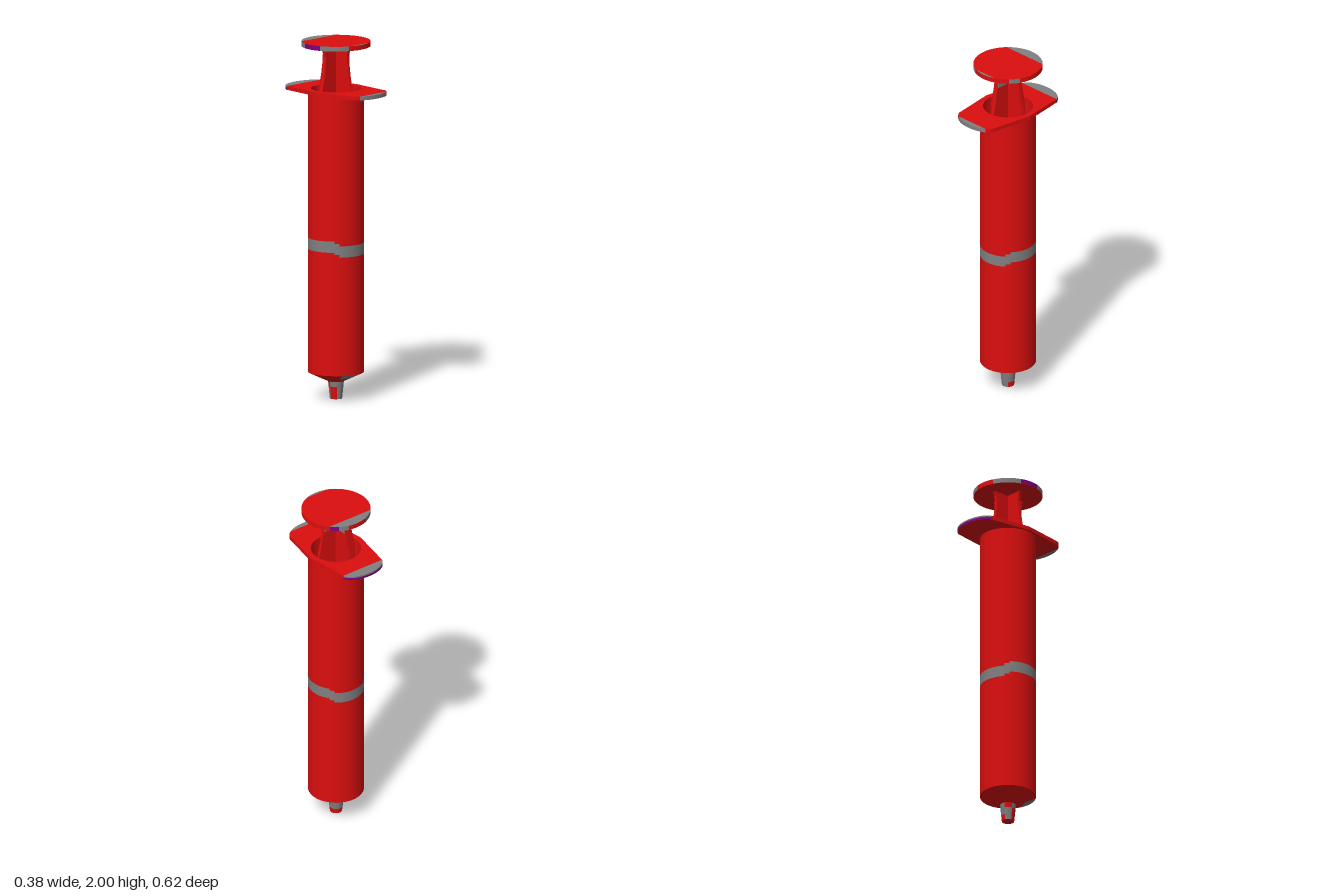
import * as THREE from 'three';

const material = (name, color) => {
  const m = new THREE.MeshStandardMaterial({ color, side: THREE.DoubleSide });
  m.name = name;
  return m;
};

// keep the part of an outline of [x, z] points that lies between two z values
function clip(points, zMin, zMax) {
  let pts = points;
  for (const [limit, sign] of [[zMin, 1], [zMax, -1]]) {
    const out = [];
    pts.forEach((a, i) => {
      const b = pts[(i + 1) % pts.length];
      const da = sign * (a[1] - limit), db = sign * (b[1] - limit);
      if (da >= 0) out.push(a);
      if (da * db < 0) {
        const t = da / (da - db);
        out.push([a[0] + (b[0] - a[0]) * t, limit]);
      }
    });
    pts = out;
  }
  return pts;
}

export function createModel() {
  const red = material('red plastic', 0xdc0e0e);
  const grey = material('grey plastic', 0x808080);
  const purple = material('purple plastic', 0x800080);
  const group = new THREE.Group();
  group.name = 'syringe';

  const add = (name, geometry, mat) => {
    const mesh = new THREE.Mesh(geometry, mat);
    mesh.name = name;
    group.add(mesh);
    return mesh;
  };
  // open wall from y0 to y1, between two angles in degrees measured from +z towards +x
  const wall = (name, r0, r1, y0, y1, mat, from = 0, to = 360) => {
    const segments = Math.max(2, Math.ceil((to - from) / 5));
    const g = new THREE.CylinderGeometry(r1, r0, y1 - y0, segments, 1, true,
      THREE.MathUtils.degToRad(from), THREE.MathUtils.degToRad(to - from));
    return add(name, g.translate(0, (y0 + y1) / 2, 0), mat);
  };
  // flat plate with its upper face at yTop
  const plate = (name, points, yTop, depth, mat, holeRadius = 0) => {
    const shape = new THREE.Shape(points.map(p => new THREE.Vector2(...p)));
    if (holeRadius) shape.holes.push(new THREE.Path().absarc(0, 0, holeRadius, 0, Math.PI * 2, true));
    const g = new THREE.ExtrudeGeometry(shape, { depth, bevelEnabled: false, curveSegments: 36 });
    return add(name, g.rotateX(Math.PI / 2).translate(0, yTop, 0), mat);
  };

  // barrel with a stepped grey band
  const R = 0.155, inner = 0.138;
  wall('barrelLower', R, R, 0.15, 0.81, red);
  wall('barrelUpper', R, R, 0.91, 1.72, red);
  wall('barrelInside', inner, inner, 0.16, 1.73, red);
  for (let q = 0; q < 4; q++) {
    const low = q % 2 === 0, a = q * 90;
    const steps = [
      [a - 40, a + 40, low ? 0.813 : 0.84],
      [a + 40, a + 50, 0.828],
    ];
    for (const [from, to, y] of steps) {
      wall('bandBelow', R, R, 0.81, y, red, from, to);
      wall('band', R, R, y, y + 0.063, grey, from, to);
      wall('bandAbove', R, R, y + 0.063, 0.91, red, from, to);
    }
  }

  // sloping shoulder
  wall('shoulderUpper', 0.092, R, 0.12, 0.15, red, 40, 325);
  wall('shoulderPatch', 0.092, R, 0.12, 0.15, grey, -35, 40);
  wall('shoulderLower', 0.044, 0.092, 0.098, 0.12, red);

  // nozzle
  const nozzleRadius = y => 0.034 + y * 0.1;
  const nozzle = (y0, y1, mat, from, to) =>
    wall('nozzle', nozzleRadius(y0), nozzleRadius(y1), y0, y1, mat, from, to);
  nozzle(0, 0.1, grey, -40, 45);
  nozzle(0, 0.03, red, 45, 200);
  nozzle(0.03, 0.1, grey, 45, 200);
  nozzle(0, 0.07, grey, 200, 260);
  nozzle(0.07, 0.1, red, 200, 260);
  nozzle(0, 0.07, red, 260, 320);
  nozzle(0.07, 0.1, grey, 260, 320);
  add('nozzleTip', new THREE.CylinderGeometry(0.034, 0.034, 0.002, 32).translate(0, 0.001, 0), red);

  // finger flange: straight tapering sides and rounded ends
  const flange = [];
  for (const s of [1, -1]) {
    flange.push([s * 0.171, 0], [s * 0.137, s * 0.22]);
    for (let i = 0; i <= 30; i++) {
      const t = Math.PI * i / 30;
      flange.push([s * 0.135 * Math.cos(t), s * (0.233 + 0.075 * Math.sin(t))]);
    }
    flange.push([-s * 0.137, s * 0.22]);
  }
  const flangeFront = clip(flange, 0.28, 1), flangeBack = clip(flange, -1, -0.245);
  plate('flange', clip(flange, -0.245, 0.28), 1.735, 0.022, red, inner);
  plate('flangeFrontTip', flangeFront, 1.735, 0.022, grey);
  plate('flangeBackTip', flangeBack, 1.735, 0.008, grey);
  plate('flangeBackUnderside', flangeBack, 1.727, 0.014, [red, purple]);

  // plunger ribs: two crossed blades with a waist below the thumb rest
  const half = [[0.125, 0.3], [0.125, 1.7], [0.119, 1.735], [0.104, 1.8],
    [0.094, 1.87], [0.091, 1.92], [0.096, 1.95], [0.106, 1.976]];
  const outline = [...half, ...half.map(([x, y]) => [-x, y]).reverse()];
  const bladeShape = new THREE.Shape(outline.map(p => new THREE.Vector2(...p)));
  for (let i = 0; i < 2; i++) {
    const g = new THREE.ExtrudeGeometry(bladeShape, { depth: 0.018, bevelEnabled: false });
    add('plungerRib', g.translate(0, 0, -0.009).rotateY(i * Math.PI / 2), red);
  }
  for (const s of [1, -1]) {
    add('ribPatch', new THREE.BoxGeometry(0.003, 0.06, 0.081).translate(0.0095, 1.912, s * 0.0505), grey);
  }
  add('ribPatch', new THREE.BoxGeometry(0.081, 0.06, 0.003).translate(0.0505, 1.912, -0.0095), grey);

  // piston inside the barrel
  add('piston', new THREE.CylinderGeometry(0.136, 0.136, 0.12, 48).translate(0, 0.25, 0), red);

  // thumb rest: red body, sliced top and a rim in coloured arcs
  const disc = [];
  for (let i = 0; i < 96; i++) {
    const t = i * Math.PI / 48;
    disc.push([0.19 * Math.cos(t), 0.19 * Math.sin(t)]);
  }
  add('thumbRestBody', new THREE.CylinderGeometry(0.189, 0.189, 0.024, 72).translate(0, 1.985, 0), red);
  plate('thumbRestBack', clip(disc, -1, -0.128), 2, 0.003, grey);
  plate('thumbRestTop', clip(disc, -0.128, 0.177), 2, 0.003, red);
  plate('thumbRestFront', clip(disc, 0.177, 1), 2, 0.003, grey);
  const rim = [[-25, 47, red], [47, 65, grey], [65, 133, red], [133, 148, purple],
    [148, 165, grey], [165, 202, red], [202, 249, grey], [249, 285, purple], [285, 335, grey]];
  for (const [from, to, mat] of rim) wall('thumbRestRim', 0.1905, 0.1905, 1.973, 1.9995, mat, from, to);

  return group;
}
